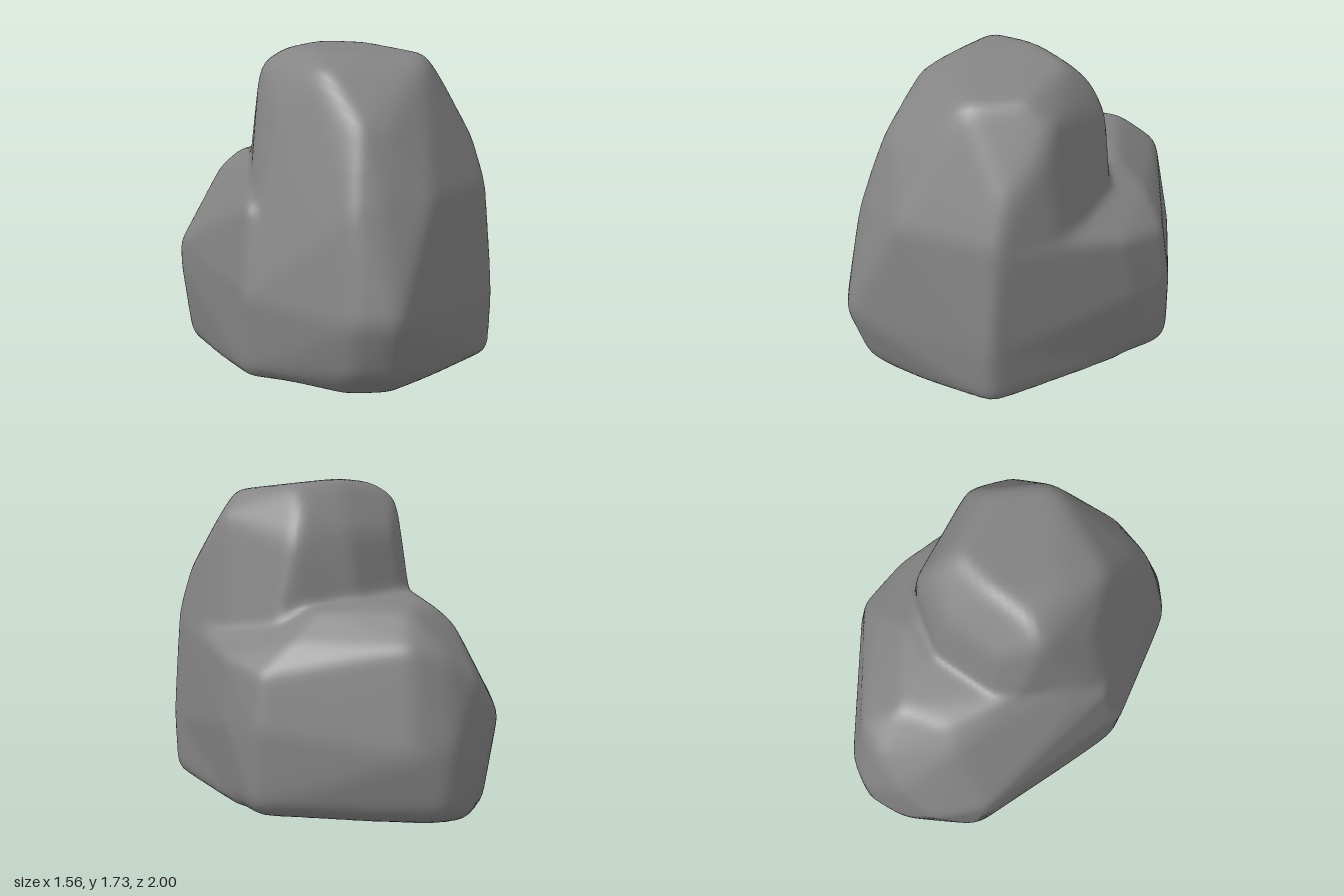
import * as THREE from 'three';
import { ConvexGeometry } from 'three/addons/geometries/ConvexGeometry.js';
import { mergeVertices } from 'three/addons/utils/BufferGeometryUtils.js';

const CENTRE = new THREE.Vector3(0, 0.65, 0);

// Corners of the tall front mass: crown, shoulders, front face, base
const TALL = [
  [-0.05, 1.73, -0.1], [0.22, 1.71, -0.18], [-0.27, 1.7, 0.03], [-0.385, 1.63, 0.03], [-0.15, 1.7, 0.25],
  [-0.14, 1.62, 0.49], [0.48, 1.665, 0.12], [0.4, 1.65, 0.42], [0.58, 1.54, 0.03],
  [0.22, 1.58, -0.32], [0.27, 1.42, -0.385], [-0.02, 1.46, -0.34], [-0.3, 1.45, -0.17],
  [0, 1.36, 0.73], [0.15, 1.33, 0.72], [-0.375, 1.4, 0.05], [-0.35, 1.4, 0.32], [0.64, 1.4, 0.1],
  [0.71, 1.2, 0.32], [0.755, 1, 0.38], [0.68, 1.0, 0.04], [0.36, 0.99, 0.79], [0.1, 1, 0.86], [-0.05, 0.95, 0.86],
  [-0.43, 1.12, 0.32], [-0.55, 0.45, 0.46], [0.785, 0.4, 0.43], [0.775, 0.1, 0.42],
  [0.15, 0.42, 1.015], [-0.07, 0.4, 0.95], [0.15, 0.13, 0.91], [-0.07, 0.13, 0.87],
  [0.15, 0.01, 0.78], [-0.07, 0.01, 0.76], [0.45, 0.06, 0.64], [-0.53, 0.06, 0.44],
  [0.21, 1.15, -0.4], [-0.05, 1.15, -0.4], [-0.36, 1.15, -0.1],
  [0.58, 0.06, -0.38], [-0.5, 0.03, -0.4],
];

// Corners of the low mass with the ledge at the back
const LOW = [
  [-0.72, 0.02, -0.47], [-0.52, 0.03, -0.84], [-0.3, 0.04, -0.89], [0.5, 0.06, -0.6], [0.72, 0.08, 0.38],
  [-0.53, 0.03, 0.42], [0.1, 0, 0.7], [-0.36, 0.11, -0.99], [0.54, 0.12, -0.66], [-0.57, 0.2, -0.84],
  [-0.78, 0.58, -0.44], [-0.78, 0.45, -0.44], [-0.72, 0.55, -0.7], [-0.4, 0.45, -0.99], [-0.2, 0.4, -1],
  [0.54, 0.5, -0.66], [0.64, 0.5, -0.4], [0.77, 0.4, 0.38], [-0.55, 0.5, 0.42],
  [-0.2, 0.93, -0.9], [-0.38, 0.88, -0.89], [-0.56, 0.75, -0.83], [-0.54, 1, -0.5], [-0.43, 1.09, -0.5],
  [-0.25, 1.1, -0.69], [0.16, 1.09, -0.5], [0.5, 0.78, -0.63], [0.33, 0.94, -0.6], [0.63, 0.84, -0.35],
  [0.69, 0.94, 0.02], [0.75, 0.97, 0.33], [-0.56, 0.9, 0.1], [-0.51, 0.9, 0.38], [-0.45, 1.08, 0.15],
  [-0.05, 1.12, -0.46], [0.36, 1.04, -0.22], [-0.41, 1.14, -0.1],
];

// Face planes of the convex hull around a set of corners, set out a little to allow for wear
function hullPlanes(corners) {
  const points = corners.map((c) => new THREE.Vector3(...c).sub(CENTRE));
  const pos = new ConvexGeometry(points).getAttribute('position');
  const planes = [];
  for (let i = 0; i < pos.count; i += 3) {
    const [a, b, c] = [0, 1, 2].map((k) => new THREE.Vector3().fromBufferAttribute(pos, i + k));
    const plane = new THREE.Plane().setFromCoplanarPoints(a, b, c);
    if (plane.constant > 0) plane.negate();
    plane.constant -= 0.005;
    planes.push(plane);
  }
  return planes;
}

// Distance from the centre to the hull along a direction
function reach(planes, dir) {
  let r = 10;
  for (const p of planes) {
    const along = p.normal.dot(dir);
    if (along > 1e-5) r = Math.min(r, -p.constant / along);
  }
  return r;
}

// Move each vertex towards the mean of its neighbours to wear down the edges
function wearEdges(geometry, passes) {
  const pos = geometry.getAttribute('position');
  const index = geometry.index.array;
  const near = Array.from({ length: pos.count }, () => new Set());
  for (let i = 0; i < index.length; i += 3) {
    for (let k = 0; k < 3; k++) {
      near[index[i + k]].add(index[i + (k + 1) % 3]).add(index[i + (k + 2) % 3]);
    }
  }
  const v = new THREE.Vector3();
  for (let n = 0; n < passes; n++) {
    const moved = near.map((set, i) => {
      const mean = new THREE.Vector3();
      for (const j of set) mean.add(v.fromBufferAttribute(pos, j));
      return mean.divideScalar(set.size).lerp(v.fromBufferAttribute(pos, i), 0.4);
    });
    moved.forEach((p, i) => pos.setXYZ(i, p.x, p.y, p.z));
  }
}

export function createModel() {
  const group = new THREE.Group();
  group.name = 'rock';

  // Shared sphere pushed out to the joined faceted masses
  let geometry = new THREE.IcosahedronGeometry(1, 36);
  geometry.deleteAttribute('normal');
  geometry.deleteAttribute('uv');
  geometry = mergeVertices(geometry, 1e-4);
  const masses = [hullPlanes(TALL), hullPlanes(LOW)];
  const pos = geometry.getAttribute('position');
  const dir = new THREE.Vector3();
  for (let i = 0; i < pos.count; i++) {
    dir.fromBufferAttribute(pos, i).normalize();
    dir.multiplyScalar(Math.max(...masses.map((m) => reach(m, dir))));
    pos.setXYZ(i, dir.x, dir.y, dir.z);
  }
  wearEdges(geometry, 4);

  // Stand it on the ground
  geometry.computeBoundingBox();
  geometry.translate(0, -geometry.boundingBox.min.y, 0);
  geometry.computeVertexNormals();

  const boulder = new THREE.Mesh(geometry, new THREE.MeshStandardMaterial({ color: 0x848484 }));
  boulder.name = 'boulder';
  group.add(boulder);
  return group;
}
